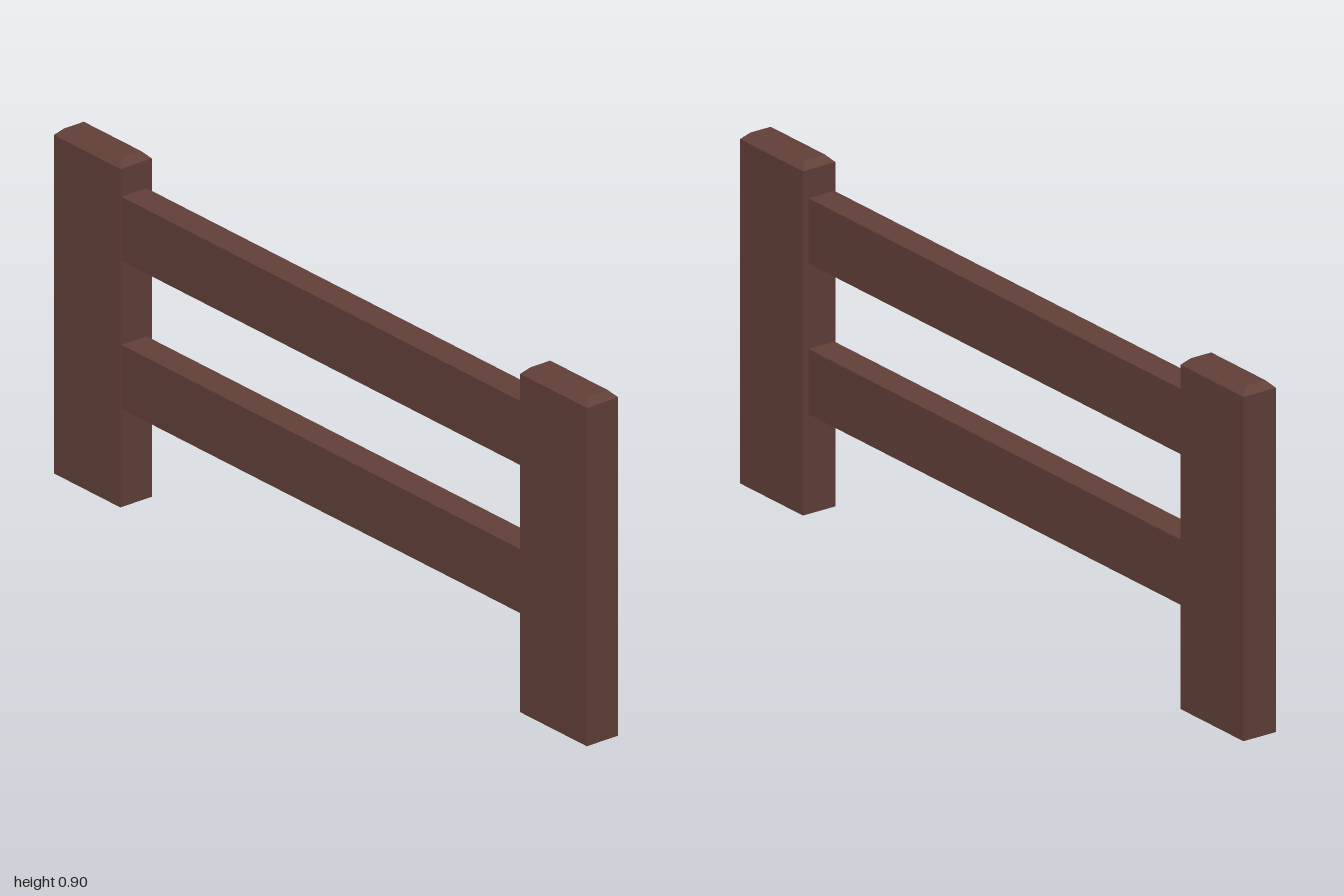
import * as THREE from 'three';

const wood = new THREE.MeshStandardMaterial({ color: 0x623f38 });
wood.name = 'dark brown wood';

// Box whose base is at y = 0; the top four corners can be drawn inwards
function block(name, w, h, d, inX = 0, inZ = 0) {
  const g = new THREE.BoxGeometry(w, h, d).toNonIndexed();
  const p = g.attributes.position;
  for (let i = 0; i < p.count; i++) {
    if (p.getY(i) > 0) {
      p.setX(i, p.getX(i) - Math.sign(p.getX(i)) * inX);
      p.setZ(i, p.getZ(i) - Math.sign(p.getZ(i)) * inZ);
    }
  }
  g.translate(0, h / 2, 0);
  g.computeVertexNormals();
  const mesh = new THREE.Mesh(g, wood);
  mesh.name = name;
  return mesh;
}

export function createModel() {
  const fence = new THREE.Group();
  fence.name = 'fence';

  // Posts with bevelled tops
  for (const [name, side] of [['frontPost', 1], ['backPost', -1]]) {
    const post = new THREE.Group();
    post.name = name;
    const cap = block('postCap', 0.096, 0.018, 0.25, 0.018, 0.017);
    cap.position.y = 0.882;
    post.add(block('postShaft', 0.096, 0.882, 0.25), cap);
    post.position.z = side * 0.875;
    fence.add(post);
  }

  // Rails between the posts, set slightly towards the right side
  for (const [name, y] of [['lowerRail', 0.256], ['upperRail', 0.642]]) {
    const rail = block(name, 0.077, 0.167, 1.5);
    rail.position.set(-0.0065, y, 0);
    fence.add(rail);
  }
  return fence;
}
